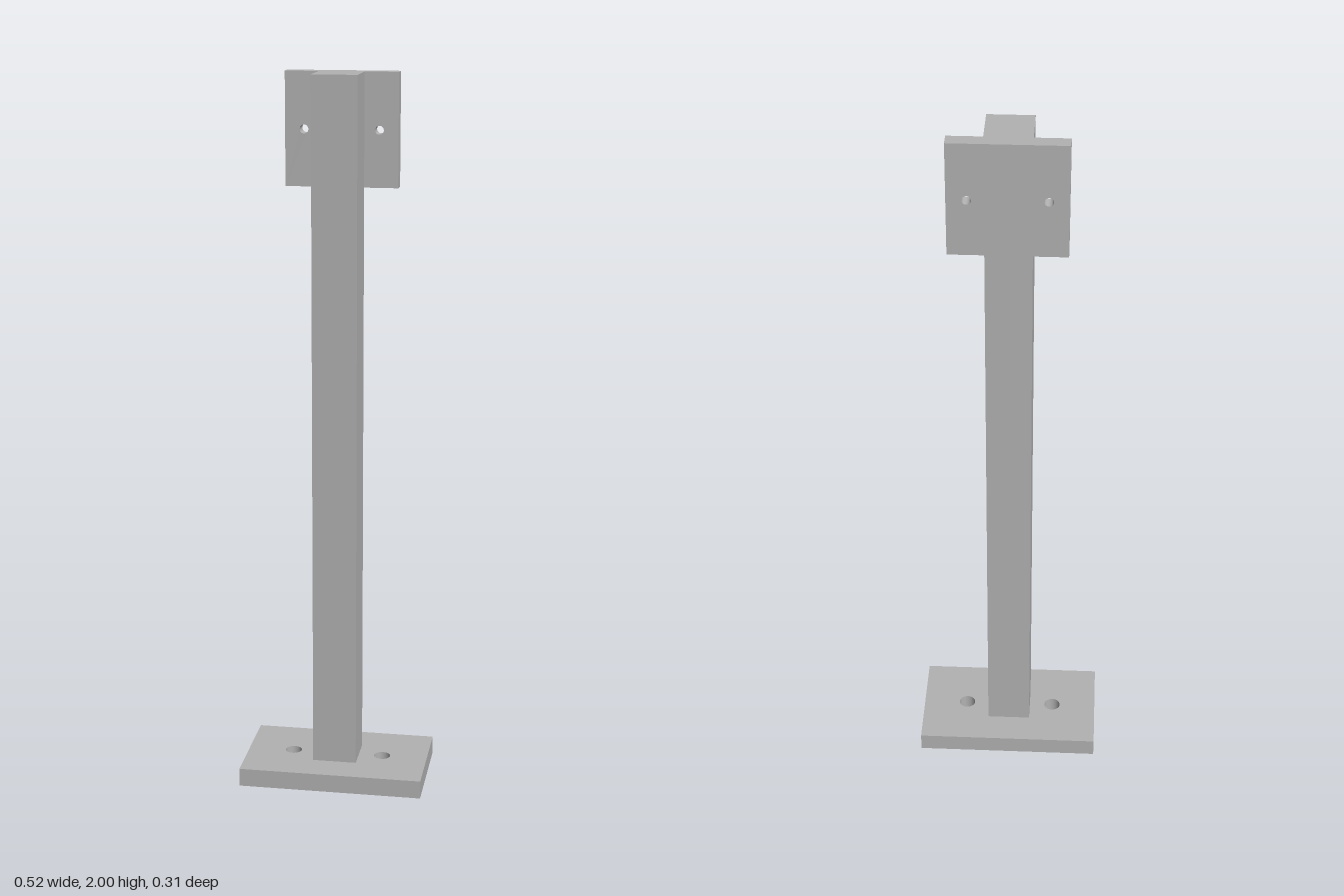
import * as THREE from 'three';

// Rectangular plate extruded along +z, with a mirrored pair of round holes
function drilledPlate(width, height, depth, holeX, holeY, holeR) {
  const w = width / 2, h = height / 2;
  const shape = new THREE.Shape([
    new THREE.Vector2(-w, -h), new THREE.Vector2(w, -h),
    new THREE.Vector2(w, h), new THREE.Vector2(-w, h),
  ]);
  for (const side of [-1, 1]) {
    const hole = new THREE.Path();
    hole.absarc(side * holeX, holeY, holeR, 0, Math.PI * 2, true);
    shape.holes.push(hole);
  }
  return new THREE.ExtrudeGeometry(shape, { depth, bevelEnabled: false, curveSegments: 24 });
}

export function createModel() {
  const steel = new THREE.MeshStandardMaterial({ color: 0xb2b2b2 });
  steel.name = 'grey steel';
  const group = new THREE.Group();
  group.name = 'mountingPost';

  const add = (name, geometry) => {
    const mesh = new THREE.Mesh(geometry, steel);
    mesh.name = name;
    group.add(mesh);
  };

  const baseTop = 0.052, postHalf = 0.062;

  // Floor plate with two bolt holes
  add('basePlate', drilledPlate(0.52, 0.31, baseTop, 0.13, 0, 0.0235).rotateX(-Math.PI / 2));

  // Square upright
  add('post', new THREE.BoxGeometry(postHalf * 2, 2 - baseTop, postHalf * 2)
    .translate(0, (2 + baseTop) / 2, 0));

  // Fixing plate behind the top of the post, with two screw holes
  add('fixingPlate', drilledPlate(0.31, 0.31, 0.041, 0.103, 0, 0.012)
    .translate(0, 1.845, -0.103));

  return group;
}
